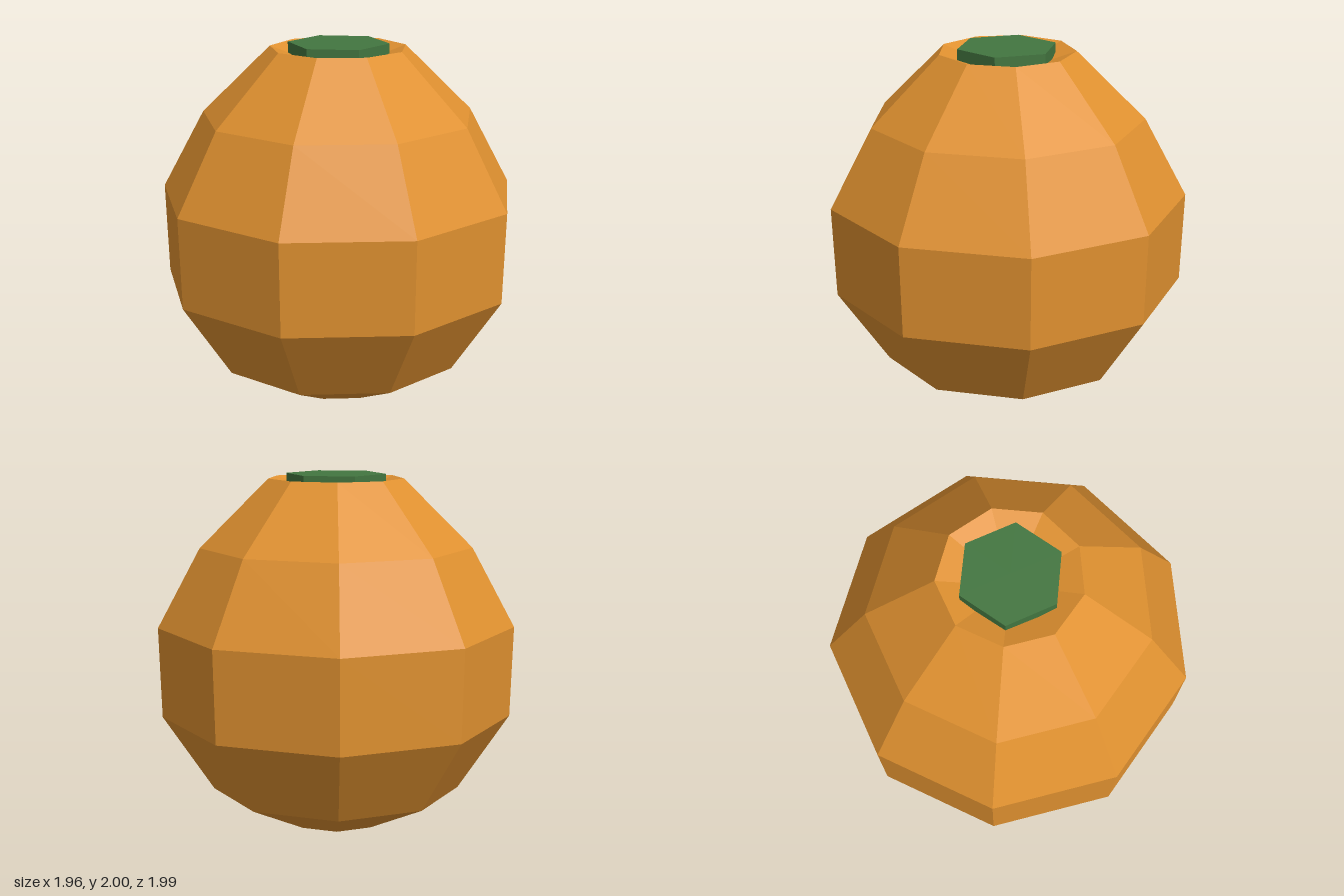
import * as THREE from 'three';

// Give every face its own normal for the faceted look
function faceted(geometry) {
  const flat = geometry.toNonIndexed();
  flat.computeVertexNormals();
  return flat;
}

export function createModel() {
  const group = new THREE.Group();
  group.name = 'pumpkin';

  const orange = new THREE.MeshStandardMaterial({ color: 0xe09130 });
  orange.name = 'orange rind';
  const green = new THREE.MeshStandardMaterial({ color: 0x437640 });
  green.name = 'green stem';

  const centreX = -0.03;

  // Nine-sided body: flat base, bulging sides, shallow dip at the top
  const profile = [
    [0, 0], [0.302, 0], [0.713, 0.205], [0.998, 0.643], [1.011, 1.155],
    [0.77, 1.597], [0.383, 1.976], [0, 1.84],
  ].map(([r, y]) => new THREE.Vector2(r, y));
  const body = new THREE.Mesh(
    faceted(new THREE.LatheGeometry(profile, 9, Math.PI / 2)), orange);
  body.name = 'body';
  body.position.x = centreX;
  group.add(body);

  // Short six-sided stem sitting in the dip
  const stem = new THREE.Mesh(
    faceted(new THREE.CylinderGeometry(0.282, 0.282, 0.15, 6, 1, false, Math.PI / 2)), green);
  stem.name = 'stem';
  stem.position.set(centreX, 1.925, 0);
  group.add(stem);

  return group;
}
